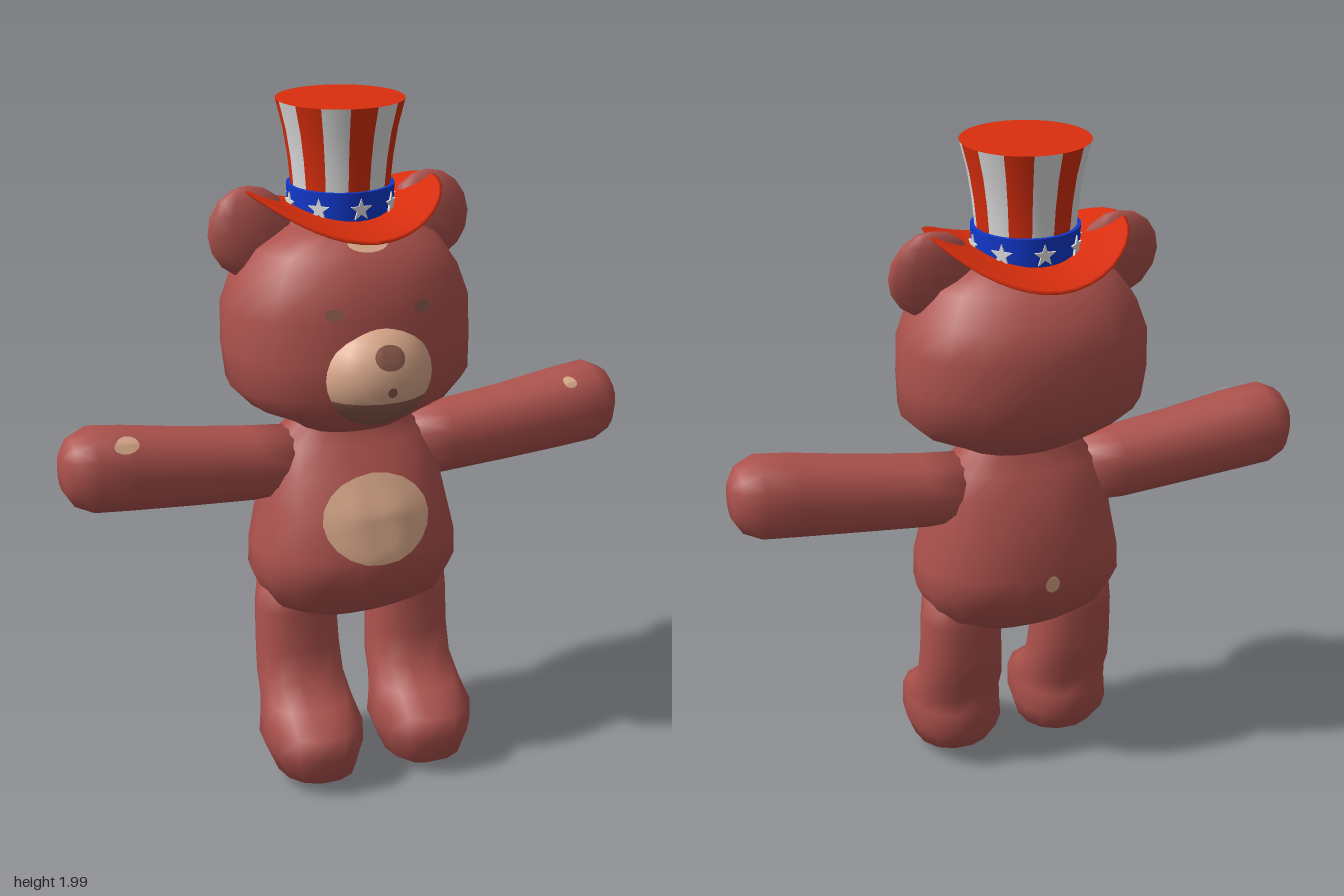
import * as THREE from 'three';

const paint = (name, color) => {
  const m = new THREE.MeshStandardMaterial({ color });
  m.name = name;
  return m;
};

export function createModel() {
  const fur = paint('fur', 0xad524d);
  const tan = paint('tan', 0xdaa88a);
  const brown = paint('brown', 0x8a594c);
  const red = paint('hatRed', 0xd92e0d);
  const white = paint('hatWhite', 0xdedede);
  const blue = paint('hatBlue', 0x1238cc);

  const model = new THREE.Group();
  model.name = 'bear';
  const add = (name, geometry, material, parent = model) => {
    const mesh = new THREE.Mesh(geometry, material);
    mesh.name = name;
    parent.add(mesh);
    return mesh;
  };

  // Smooth closed loft through slightly squared ellipses.
  // place(t, a, b) turns a ring position, and offsets across it, into x, y, z.
  function loft(rings, place, sides = 14) {
    const pos = [], idx = [];
    const soft = (v) => Math.sign(v) * Math.abs(v) ** 0.9;
    for (const [t, ca, cb, ra, rb] of rings) {
      for (let j = 0; j < sides; j++) {
        const q = (j / sides) * Math.PI * 2;
        pos.push(...place(t, ca + ra * soft(Math.cos(q)), cb + rb * soft(Math.sin(q))));
      }
    }
    for (let i = 0; i < rings.length - 1; i++) {
      for (let j = 0; j < sides; j++) {
        const a = i * sides + j, b = i * sides + ((j + 1) % sides);
        idx.push(a, a + sides, b, b, a + sides, b + sides);
      }
    }
    const last = rings.length - 1, low = rings.length * sides, high = low + 1;
    pos.push(...place(...rings[0].slice(0, 3)), ...place(...rings[last].slice(0, 3)));
    for (let j = 0; j < sides; j++) {
      const k = (j + 1) % sides;
      idx.push(low, j, k, high, last * sides + k, last * sides + j);
    }
    const g = new THREE.BufferGeometry();
    g.setAttribute('position', new THREE.Float32BufferAttribute(pos, 3));
    g.setIndex(idx);
    g.computeVertexNormals();
    return g;
  }
  const upright = (t, a, b) => [a, t, b];
  const sideways = (t, a, b) => [t, b, a];

  // Thin coloured oval laid on a surface, seen from the front (1) or back (-1)
  function patch(name, target, material, x, y, rx, ry, facing = 1) {
    const ray = new THREE.Raycaster(), pos = [], idx = [], sides = 20, steps = 6;
    for (let i = 0; i <= steps; i++) {
      for (let j = 0; j < sides; j++) {
        const q = (j / sides) * Math.PI * 2, r = i / steps;
        const px = x + facing * rx * r * Math.cos(q), py = y + ry * r * Math.sin(q);
        ray.set(new THREE.Vector3(px, py, facing * 2), new THREE.Vector3(0, 0, -facing));
        const hit = ray.intersectObject(target)[0];
        const p = hit ? hit.point.addScaledVector(hit.face.normal, 0.005) : new THREE.Vector3(px, py, 0);
        pos.push(p.x, p.y, p.z);
        if (i < steps) {
          const a = i * sides + j, b = i * sides + ((j + 1) % sides);
          idx.push(a, a + sides, b, b, a + sides, b + sides);
        }
      }
    }
    const g = new THREE.BufferGeometry();
    g.setAttribute('position', new THREE.Float32BufferAttribute(pos, 3));
    g.setIndex(idx);
    g.computeVertexNormals();
    add(name, g, material);
  }

  // Torso: height, centre x, centre z, half width, half depth
  const body = add('body', loft([
    [0.49, 0, 0.03, 0.18, 0.08], [0.55, 0, 0.04, 0.27, 0.17], [0.64, 0, 0.035, 0.312, 0.23],
    [0.72, 0, 0.035, 0.308, 0.24], [0.85, 0, 0.025, 0.28, 0.22], [0.95, 0, 0.01, 0.265, 0.18],
    [1.03, 0, 0, 0.235, 0.14], [1.08, 0, 0, 0.18, 0.11], [1.15, 0, 0, 0.16, 0.1],
  ], upright, 18), fur);

  // Head
  const head = add('head', loft([
    [1.07, 0, 0.02, 0.15, 0.11], [1.11, 0, 0.02, 0.21, 0.17], [1.15, 0, 0.015, 0.3, 0.215],
    [1.21, 0, 0, 0.358, 0.262], [1.31, 0, -0.015, 0.365, 0.275], [1.43, 0, -0.02, 0.363, 0.27],
    [1.52, 0, -0.02, 0.33, 0.25], [1.6, 0, -0.01, 0.275, 0.195], [1.65, 0, -0.01, 0.18, 0.13],
    [1.67, 0, -0.01, 0.08, 0.06],
  ], upright, 18), fur);

  // Limbs and ears
  const armRings = [
    [0.18, 0, 0.965, 0.1, 0.1], [0.3, 0, 0.968, 0.106, 0.108], [0.5, 0.005, 0.988, 0.11, 0.114],
    [0.68, 0.008, 1.01, 0.115, 0.122], [0.78, 0.008, 1.02, 0.113, 0.124],
    [0.835, 0.008, 1.02, 0.09, 0.098], [0.862, 0.008, 1.02, 0.05, 0.055],
  ];
  const legRings = [
    [0.01, 0.165, 0.17, 0.05, 0.06], [0.05, 0.172, 0.165, 0.115, 0.135], [0.13, 0.175, 0.143, 0.145, 0.183],
    [0.2, 0.175, 0.147, 0.143, 0.178], [0.25, 0.175, 0.105, 0.135, 0.13], [0.31, 0.175, 0.055, 0.13, 0.105],
    [0.4, 0.176, 0.037, 0.126, 0.1], [0.52, 0.178, 0.03, 0.122, 0.1], [0.64, 0.178, 0.03, 0.11, 0.1],
  ];
  const arms = {};
  for (const [side, s] of [['left', 1], ['right', -1]]) {
    const rings = armRings.map(([t, ...rest]) => [s * t, ...rest]);
    if (s < 0) rings.reverse();
    arms[side] = add(side + 'Arm', loft(rings, sideways), fur);
    add(side + 'Leg', loft(legRings.map(([y, x, ...rest]) => [y, s * x, ...rest]), upright), fur);
    const ear = new THREE.SphereGeometry(1, 12, 8).scale(0.125, 0.13, 0.042);
    ear.rotateX(-0.12).translate(s * 0.275, 1.64, -0.048);
    add(side + 'Ear', ear, fur);
    patch(side + 'Eye', head, brown, s * 0.13, 1.455, 0.026, 0.016);
  }

  // Muzzle in two colours, with nose and mouth
  const split = 1.95;
  const muzzlePart = (from, length) =>
    new THREE.SphereGeometry(1, 18, 10, 0, Math.PI * 2, from, length).scale(0.168, 0.15, 0.133).translate(0, 1.268, 0.2);
  const muzzle = add('muzzle', muzzlePart(0, split), tan);
  add('chin', muzzlePart(split, Math.PI - split), brown);
  patch('nose', muzzle, brown, 0, 1.34, 0.043, 0.033);
  patch('mouth', muzzle, brown, 0, 1.248, 0.014, 0.014);

  // Fur markings
  patch('bellyPatch', body, tan, 0, 0.832, 0.162, 0.125);
  patch('foreheadPatch', head, tan, 0, 1.625, 0.06, 0.02);
  patch('rightArmPatch', arms.right, tan, -0.695, 1.102, 0.037, 0.018);
  patch('leftArmPatch', arms.left, tan, 0.69, 1.107, 0.02, 0.012);
  patch('tailPatch', body, tan, -0.03, 0.7, 0.022, 0.027, -1);

  // Hat
  const hat = new THREE.Group();
  hat.name = 'hat';
  hat.position.z = -0.05;
  model.add(hat);

  // Brim curls up at the sides and dips at front and back
  const radii = [0, 0.07, 0.14, 0.19, 0.24, 0.28];
  const rim = [
    ...radii.map((r) => new THREE.Vector2(r, -0.006)), new THREE.Vector2(0.288, 0),
    ...radii.reverse().map((r) => new THREE.Vector2(r, 0.006)),
  ];
  const brim = new THREE.LatheGeometry(rim, 40);
  const bp = brim.attributes.position;
  for (let i = 0; i < bp.count; i++) {
    const x = bp.getX(i), z = bp.getZ(i);
    bp.setY(i, bp.getY(i) + 1.682 + 0.9 * x * x - 0.42 * z * z);
  }
  brim.computeVertexNormals();
  add('brim', brim, red, hat);

  // Flared crown of alternating stripes
  const profile = [[0.138, 1.68], [0.143, 1.77], [0.15, 1.84], [0.163, 1.92], [0.183, 2]]
    .map(([r, y]) => new THREE.Vector2(r, y));
  const stripes = 14, width = (Math.PI * 2) / stripes;
  for (let i = 0; i < stripes; i++) {
    add('crownStripe', new THREE.LatheGeometry(profile, 3, (i - 0.5) * width, width), i % 2 ? white : red, hat);
  }
  add('crownTop', new THREE.CircleGeometry(0.183, 42).rotateX(-Math.PI / 2).translate(0, 2, 0), red, hat);

  // Band with stars
  add('band', new THREE.CylinderGeometry(0.154, 0.15, 0.1, 40).translate(0, 1.71, 0), blue, hat);
  const star = new THREE.Shape();
  for (let i = 0; i < 10; i++) {
    const r = i % 2 ? 0.013 : 0.033, q = Math.PI / 2 + (i * Math.PI) / 5;
    star[i ? 'lineTo' : 'moveTo'](r * Math.cos(q), r * Math.sin(q));
  }
  star.closePath();
  for (let i = 0; i < 8; i++) {
    const g = new THREE.ExtrudeGeometry(star, { depth: 0.006, bevelEnabled: false });
    add('star', g.translate(0, 1.711, 0.151).rotateY((i * Math.PI) / 4), white, hat);
  }
  return model;
}
